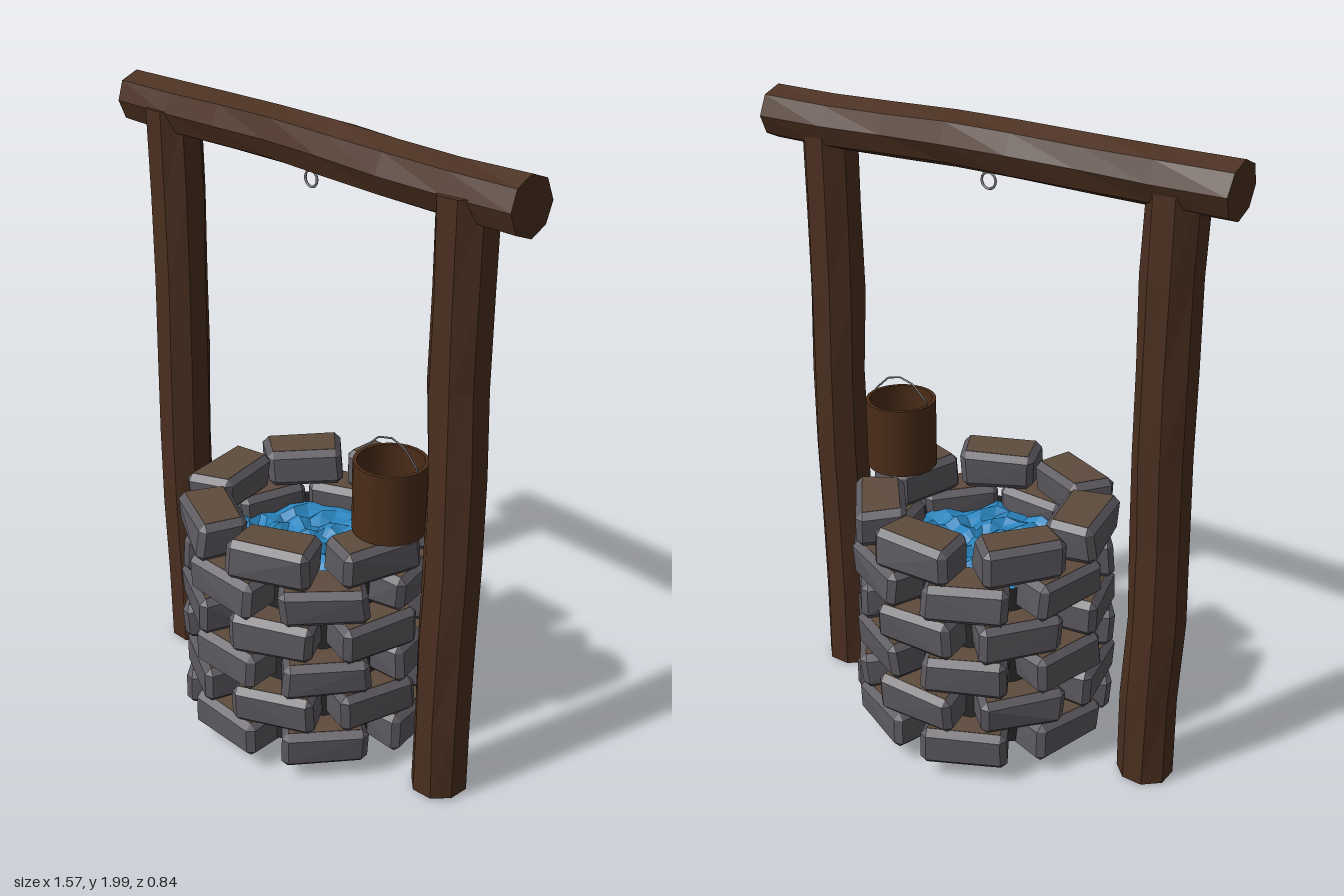
import * as THREE from 'three';
import { ConvexGeometry } from 'three/addons/geometries/ConvexGeometry.js';

const mat = (color, extra = {}) => {
  const m = new THREE.MeshStandardMaterial({ color, ...extra });
  return m;
};

// small seeded generator, returns -1..1
function seeded(seed) {
  return () => {
    seed = (seed * 16807) % 2147483647;
    return (seed / 2147483647) * 2 - 1;
  };
}

function add(parent, name, geometry, material, x = 0, y = 0, z = 0) {
  const mesh = new THREE.Mesh(geometry, material);
  mesh.name = name;
  mesh.position.set(x, y, z);
  parent.add(mesh);
  return mesh;
}

// eight-sided log along y, gently warped and with uneven ends
function logGeometry(radius, length, turn, phase) {
  const g = new THREE.CylinderGeometry(radius, radius, length, 8, 7).rotateY(turn);
  const p = g.attributes.position;
  for (let i = 0; i < p.count; i++) {
    const x = p.getX(i), y = p.getY(i), z = p.getZ(i);
    const swell = 1 + 0.05 * Math.sin(y * 9 + phase + x * 20) * Math.cos(z * 15 + phase);
    p.setXYZ(i,
      x * swell + 0.005 * Math.sin(y * 5 + phase),
      y + (Math.abs(y) > length * 0.49 ? 0.06 * x * Math.sin(phase) : 0),
      z * swell + 0.005 * Math.cos(y * 4 + phase));
  }
  return g;
}

// chamfered, slightly uneven block: x is its length, z points outward
function brickParts(rand) {
  const c = 0.02, points = [], top = [];
  for (const sx of [-1, 1]) for (const sy of [-1, 1]) for (const sz of [-1, 1]) {
    const x = sx * ((sz > 0 ? 0.134 : 0.122) + rand() * 0.006);
    const y = sy * (0.062 + rand() * 0.004);
    const z = sz * (0.077 + rand() * 0.007);
    const ix = x - sx * c, iy = y - sy * c, iz = z - sz * c;
    points.push(new THREE.Vector3(x, iy, iz), new THREE.Vector3(ix, y, iz), new THREE.Vector3(ix, iy, z));
    if (sy > 0) top.push(new THREE.Vector3(ix, y + 0.001, iz), new THREE.Vector3(ix, y - 0.008, iz));
  }
  return [new ConvexGeometry(points), new ConvexGeometry(top)];
}

export function createModel() {
  const model = new THREE.Group();
  model.name = 'waterWell';
  const both = { side: THREE.DoubleSide };
  const wood = mat(0x4a2f1f, { flatShading: true });
  const stone = mat(0x5c595f, { flatShading: true });
  const dirt = mat(0x5e4c3d, { flatShading: true });
  const mortar = mat(0x2c2c2e, both);
  const waterBlue = mat(0x2a86c0, { flatShading: true, ...both });
  const bucketWood = mat(0x4a2c18, both);
  const metal = mat(0x77777a);
  const rand = seeded(4711);

  // timber frame
  add(model, 'rightPost', logGeometry(0.088, 1.9, Math.PI / 8, 0.2), wood, -0.595, 0.96, 0.01);
  add(model, 'leftPost', logGeometry(0.088, 1.9, Math.PI / 8, 2.4), wood, 0.59, 0.96, 0.01);
  add(model, 'crossBeam', logGeometry(0.083, 1.565, 0, 1.3).rotateZ(Math.PI / 2), wood, 0, 1.91, 0);
  add(model, 'beamRing', new THREE.TorusGeometry(0.024, 0.004, 6, 16), metal, 0, 1.81, 0);

  // stone wall: six courses of seven blocks, every other course shifted by half a block
  const wall = new THREE.Group();
  wall.name = 'stoneWall';
  wall.position.x = 0.015;
  model.add(wall);
  for (let row = 0; row < 6; row++) {
    for (let i = 0; i < 7; i++) {
      const angle = ((i + (row % 2) * 0.5) / 7) * Math.PI * 2 + rand() * 0.02;
      const brick = new THREE.Group();
      brick.name = 'stoneBlock';
      const [block, cap] = brickParts(rand);
      add(brick, 'block', block, stone);
      add(brick, 'dirtTop', cap, dirt);
      brick.rotation.y = angle;
      const r = 0.325 + rand() * 0.005;
      brick.position.set(Math.sin(angle) * r, 0.115 + row * 0.128, Math.cos(angle) * r);
      wall.add(brick);
    }
  }
  add(wall, 'wallCore', new THREE.CylinderGeometry(0.31, 0.31, 0.56, 14, 1, true), mortar, 0, 0.36, 0);
  add(wall, 'wellFloor', new THREE.CircleGeometry(0.31, 14).rotateX(-Math.PI / 2), mortar, 0, 0.08, 0);

  // rippled water surface
  const waterGeo = new THREE.RingGeometry(0.001, 0.285, 28, 9).rotateX(-Math.PI / 2);
  const p = waterGeo.attributes.position;
  for (let i = 0; i < p.count; i++) {
    const x = p.getX(i), z = p.getZ(i);
    p.setY(i, 0.009 * (Math.sin(x * 71 + z * 23) + Math.cos(z * 67 - x * 31)));
  }
  add(wall, 'water', waterGeo, waterBlue, 0, 0.62, 0);

  // bucket with a thin wall and wire handle
  const bucket = new THREE.Group();
  bucket.name = 'bucket';
  bucket.position.set(0.345, 0.822, 0.01);
  model.add(bucket);
  const profile = [[0, 0], [0.112, 0], [0.112, 0], [0.112, 0.225], [0.112, 0.225], [0.1, 0.225],
    [0.1, 0.225], [0.1, 0.015], [0.1, 0.015], [0, 0.015]].map(([x, y]) => new THREE.Vector2(x, y));
  // each straight run is its own lathe, so rims stay sharp
  for (let i = 0; i < profile.length; i += 2) {
    const part = ['base', 'outerWall', 'rim', 'innerWall', 'innerFloor'][i / 2];
    add(bucket, part, new THREE.LatheGeometry([profile[i], profile[i + 1]], 24), bucketWood);
  }
  const arc = [[-0.106, 0.21], [-0.1, 0.235], [-0.05, 0.283], [0, 0.296], [0.05, 0.283], [0.1, 0.235], [0.106, 0.21]];
  const handle = new THREE.CurvePath();
  for (let i = 1; i < arc.length; i++) {
    handle.add(new THREE.LineCurve3(new THREE.Vector3(...arc[i - 1], 0), new THREE.Vector3(...arc[i], 0)));
  }
  add(bucket, 'handle', new THREE.TubeGeometry(handle, 36, 0.003, 5), metal);

  return model;
}
